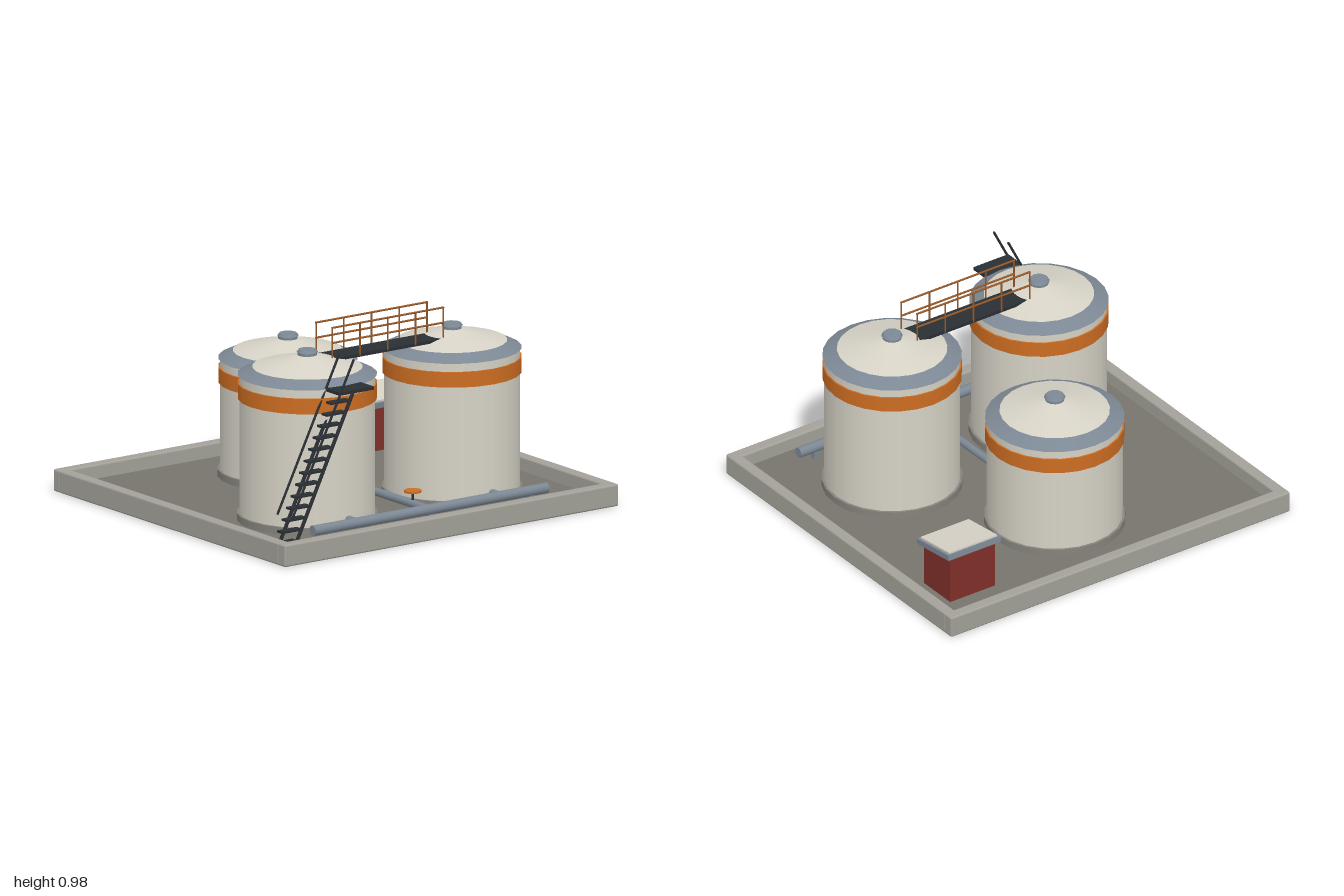
import * as THREE from 'three';
import { RoundedBoxGeometry } from 'three/addons/geometries/RoundedBoxGeometry.js';

const mat = (color) => new THREE.MeshStandardMaterial({ color });
const M = {
  concrete: mat(0xa3a198), floor: mat(0x76746c), plinth: mat(0x85837b),
  shell: mat(0xd6d2c6), steel: mat(0x7c8894), orange: mat(0xcc6d22),
  rail: mat(0x9a5a28), dark: mat(0x2a2f34), red: mat(0x80302a), door: mat(0x5a5850),
};
const FLOOR = 0.04;

function add(parent, name, geometry, material, x = 0, y = 0, z = 0) {
  const mesh = new THREE.Mesh(geometry, material);
  mesh.name = name;
  mesh.position.set(x, y, z);
  parent.add(mesh);
  return mesh;
}

function box(parent, name, material, [x0, x1], [y0, y1], [z0, z1]) {
  const geometry = new THREE.BoxGeometry(x1 - x0, y1 - y0, z1 - z0);
  return add(parent, name, geometry, material, (x0 + x1) / 2, (y0 + y1) / 2, (z0 + z1) / 2);
}

// Upright cylinder or cone frustum between two heights
function drum(parent, name, material, rBottom, rTop, y0, y1, sides = 24) {
  const geometry = new THREE.CylinderGeometry(rTop, rBottom, y1 - y0, sides);
  return add(parent, name, geometry, material, 0, (y0 + y1) / 2, 0);
}

// Round bar between two points
function bar(parent, name, material, from, to, radius, sides = 6) {
  const a = new THREE.Vector3(...from), b = new THREE.Vector3(...to);
  const dir = b.clone().sub(a);
  const mesh = add(parent, name, new THREE.CylinderGeometry(radius, radius, dir.length(), sides), material);
  mesh.position.copy(a).add(b).multiplyScalar(0.5);
  mesh.quaternion.setFromUnitVectors(new THREE.Vector3(0, 1, 0), dir.normalize());
  return mesh;
}

function group(parent, name) {
  const g = new THREE.Group();
  g.name = name;
  parent.add(g);
  return g;
}

// Containment basin: floor slab and four kerb walls
function buildBasin(root) {
  const g = group(root, 'basin');
  box(g, 'floorSlab', M.floor, [-0.985, 0.985], [0, FLOOR], [-0.915, 0.915]);
  for (const s of [-1, 1]) {
    add(g, 'longWall', new RoundedBoxGeometry(2, 0.11, 0.06, 2, 0.01), M.concrete, 0, 0.055, s * 0.9);
    add(g, 'sideWall', new RoundedBoxGeometry(0.06, 0.11, 1.76, 2, 0.01), M.concrete, s * 0.97, 0.055, 0);
  }
}

// Storage tank; top is the height of the shell's upper edge
function buildTank(root, name, x, z, top) {
  const g = group(root, name);
  g.position.set(x, 0, z);
  drum(g, 'plinth', M.plinth, 0.34, 0.34, FLOOR, 0.075);
  drum(g, 'shell', M.shell, 0.328, 0.328, 0.07, top);
  drum(g, 'colourBand', M.orange, 0.336, 0.336, top - 0.118, top - 0.042);
  drum(g, 'eaveRing', M.steel, 0.336, 0.25, top, top + 0.038);
  drum(g, 'roofCone', M.shell, 0.266, 0.05, top + 0.036, top + 0.093);
  drum(g, 'ventNeck', M.steel, 0.047, 0.047, top + 0.085, top + 0.112, 12);
  drum(g, 'ventCap', M.steel, 0.052, 0.043, top + 0.107, top + 0.12, 12);
}

// Catwalk joining the two front tanks
function buildCatwalk(root) {
  const g = group(root, 'catwalk');
  box(g, 'deck', M.dark, [-0.335, 0.335], [0.812, 0.828], [0.285, 0.415]);
  for (const z of [0.285, 0.415]) {
    for (const y of [0.905, 0.98]) bar(g, 'handrail', M.rail, [-0.335, y, z], [0.335, y, z], 0.005);
    for (let i = -2; i <= 2; i++) {
      bar(g, 'railPost', M.rail, [i * 0.166, 0.82, z], [i * 0.166, 0.98, z], 0.004);
    }
  }
}

// Steep access stair with landing
function buildStair(root) {
  const g = group(root, 'stair');
  for (let i = 0; i < 13; i++) {
    const x = -0.832 + i * 0.0265, y = 0.055 + i * 0.054;
    box(g, 'tread', M.dark, [x - 0.058, x + 0.058], [y - 0.005, y + 0.005], [0.684, 0.728]);
  }
  for (const z of [0.648, 0.766]) {
    bar(g, 'stringer', M.dark, [-0.82, FLOOR, z], [-0.47, 0.755, z], 0.009);
    bar(g, 'stairRail', M.dark, [-0.835, 0.18, z], [-0.465, 0.917, z], 0.006);
  }
  box(g, 'landing', M.dark, [-0.55, -0.345], [0.748, 0.764], [0.636, 0.766]);
}

// Header pipe, tank branches, supports and hand valve
function buildPipes(root) {
  const g = group(root, 'pipework');
  const y = 0.1;
  bar(g, 'headerPipe', M.steel, [-0.7, y, 0.75], [0.7, y, 0.75], 0.026, 12);
  bar(g, 'branchPipe', M.steel, [0, y, -0.08], [0, y, 0.74], 0.02, 12);
  for (const x of [-0.43, 0.43]) bar(g, 'tankBranch', M.steel, [x, y, 0.62], [x, y, 0.74], 0.02, 12);
  for (const x of [-0.6, 0, 0.6]) {
    box(g, 'pipeSupport', M.steel, [x - 0.015, x + 0.015], [FLOOR, y], [0.735, 0.765]);
  }
  bar(g, 'valveStem', M.dark, [0, y, 0.615], [0, 0.16, 0.615], 0.006);
  bar(g, 'valveWheel', M.orange, [0, 0.158, 0.615], [0, 0.168, 0.615], 0.042, 12);
}

// Pump shed with a sloping roof
function buildShed(root) {
  const g = group(root, 'shed');
  box(g, 'shedWalls', M.red, [0.587, 0.85], [FLOOR, 0.272], [-0.712, -0.497]);
  box(g, 'shedDoor', M.door, [0.58, 0.59], [FLOOR, 0.2], [-0.645, -0.565]);
  const roof = group(g, 'shedRoof');
  roof.position.set(0.718, 0.287, -0.6);
  roof.rotation.x = 0.12;
  box(roof, 'roofTrim', M.steel, [-0.155, 0.155], [-0.015, 0.013], [-0.13, 0.13]);
  box(roof, 'roofSheet', M.shell, [-0.142, 0.142], [0.01, 0.022], [-0.118, 0.118]);
}

export function createModel() {
  const root = new THREE.Group();
  root.name = 'tankFarm';
  buildBasin(root);
  buildTank(root, 'rightTank', -0.433, 0.35, 0.757);
  buildTank(root, 'leftTank', 0.433, 0.35, 0.757);
  buildTank(root, 'backTank', 0, -0.385, 0.622);
  buildCatwalk(root);
  buildStair(root);
  buildPipes(root);
  buildShed(root);
  return root;
}
